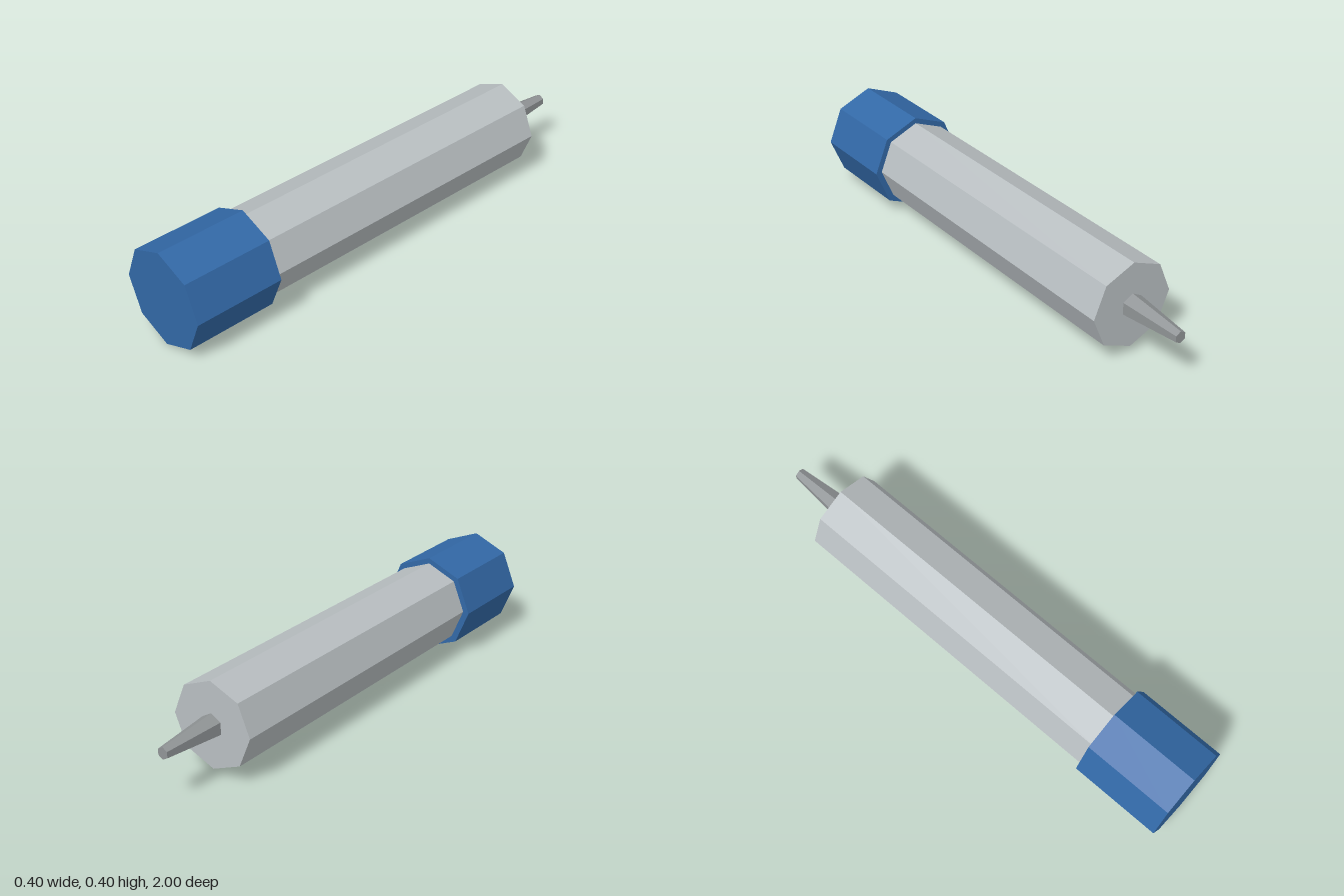
import * as THREE from 'three';

function material(name, color) {
  const m = new THREE.MeshStandardMaterial({ color, flatShading: true });
  m.name = name;
  return m;
}

// Faceted prism along z, with a corner pointing straight up
function prism(name, mat, sides, frontRadius, backRadius, zFront, zBack, y) {
  const geometry = new THREE.CylinderGeometry(frontRadius, backRadius, zFront - zBack, sides);
  geometry.rotateX(Math.PI / 2);
  const mesh = new THREE.Mesh(geometry, mat);
  mesh.name = name;
  mesh.position.set(0, y, (zFront + zBack) / 2);
  return mesh;
}

export function createModel() {
  const blue = material('cap blue', 0x3268a6);
  const grey = material('barrel grey', 0xb8bec1);
  const darkGrey = material('tip grey', 0x909496);

  const group = new THREE.Group();
  group.name = 'marker';
  group.add(
    // Octagonal end cap
    prism('cap', blue, 8, 0.2, 0.2, 1, 0.627, 0.2),
    // Slimmer barrel, seated inside the cap
    prism('barrel', grey, 8, 0.174, 0.174, 0.65, -0.75, 0.203),
    // Tapered hexagonal tip
    prism('tip', darkGrey, 6, 0.048, 0.024, -0.75, -1, 0.203)
  );
  return group;
}
